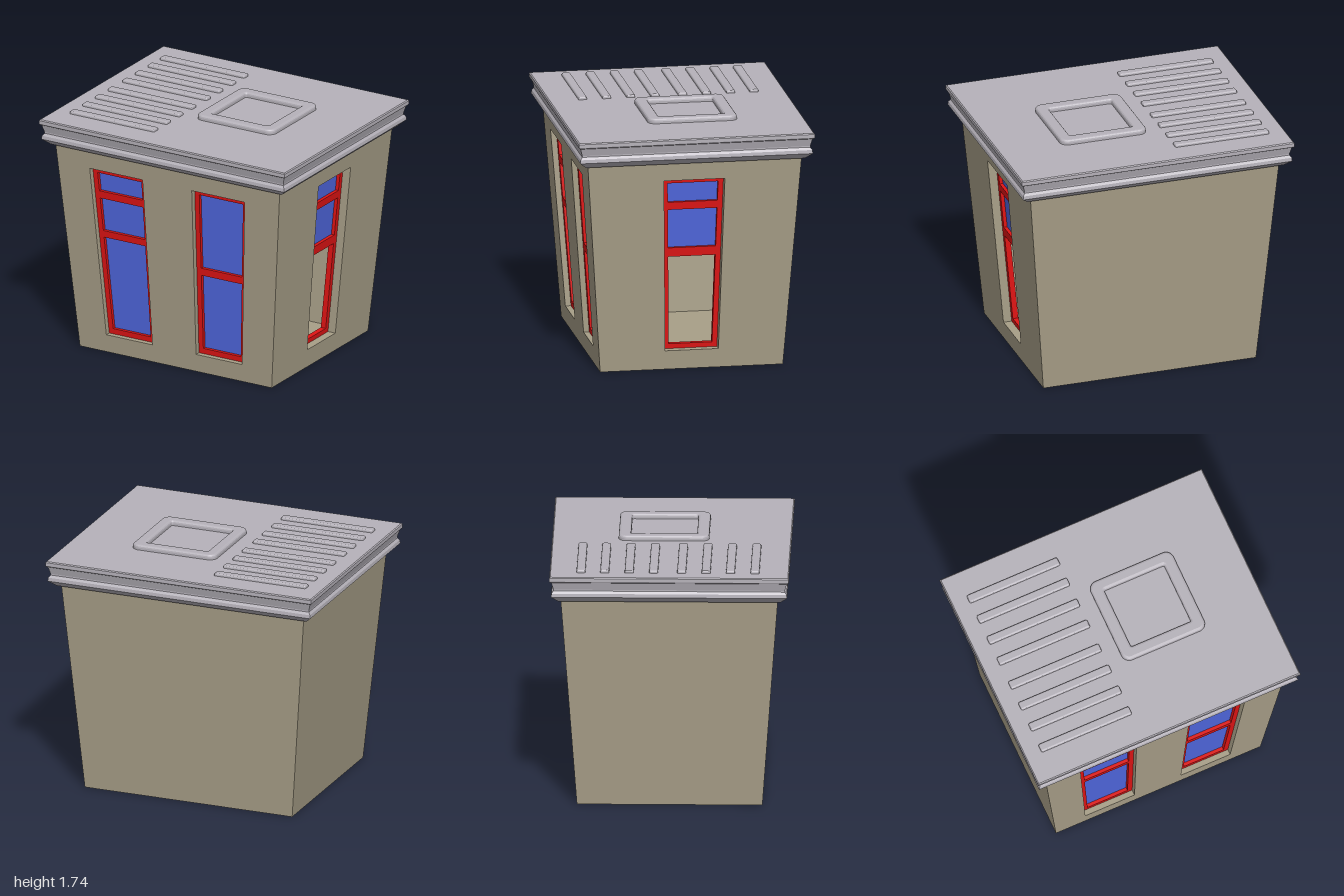
import * as THREE from 'three';
import { RoundedBoxGeometry } from 'three/addons/geometries/RoundedBoxGeometry.js';

const H = 1.52, WALL = 0.1, ROOF_Y = 1.705;
const mat = (color) => new THREE.MeshStandardMaterial({ color, flatShading: true });

export function createModel() {
  const wallMat = mat(0xa89f88), roofMat = mat(0xb6b2ba);
  const redMat = mat(0xe01414), glassMat = mat(0x5068e0);
  const model = new THREE.Group();

  const add = (parent, name, geo, material, x = 0, y = 0, z = 0) => {
    const mesh = new THREE.Mesh(geo, material);
    mesh.name = name;
    mesh.position.set(x, y, z);
    parent.add(mesh);
    return mesh;
  };

  const poly = (pts, Type = THREE.Shape) => new Type(pts.map(([x, y]) => new THREE.Vector2(x, y)));

  // Extrudes an upright shape inwards and leans it along the sloping wall
  const leaning = (shape, face, front, depth) => {
    const geo = new THREE.ExtrudeGeometry(shape, { depth, bevelEnabled: false });
    const p = geo.attributes.position;
    for (let i = 0; i < p.count; i++) {
      const slope = face.base + (face.top - face.base) * p.getY(i) / H;
      p.setZ(i, p.getZ(i) + slope - front - depth);
    }
    geo.computeVertexNormals();
    return geo;
  };

  // Outline of a tapered window between two heights, inset from its sides
  const windowBand = (w, y0, y1, inset) => {
    const edge = (y, side) => {
      const t = (y - w.y0) / (w.y1 - w.y0);
      return THREE.MathUtils.lerp(w.bottom[side], w.top[side], t) + (side ? -inset : inset);
    };
    return [[edge(y0, 0), y0], [edge(y0, 1), y0], [edge(y1, 1), y1], [edge(y1, 0), y1]];
  };

  const frontWindows = [
    { name: 'rightFrontWindow', y0: 0.13, y1: 1.385, bottom: [-0.56, -0.185], top: [-0.64, -0.21],
      panes: [[0.17, 0.86], [0.91, 1.155], [1.21, 1.347]], recess: 0.04 },
    { name: 'leftFrontWindow', y0: 0.13, y1: 1.385, bottom: [0.17, 0.545], top: [0.19, 0.62],
      panes: [[0.17, 0.73], [0.785, 1.347]], recess: 0.04 },
  ];
  // The lowest pane of the side window is open
  const sideWindows = [
    { name: 'sideWindow', y0: 0.135, y1: 1.385, bottom: [-0.188, 0.188], top: [-0.215, 0.215],
      panes: [[0.17, 0.81], [0.875, 1.155], [1.21, 1.35]], open: 0, recess: 0.06 },
  ];
  const X = { base: 0.78, top: 0.912 }, Z = { base: 0.645, top: 0.755 };
  const walls = [
    { name: 'frontWall', face: Z, width: X, trim: 0, turn: 0, windows: frontWindows },
    { name: 'backWall', face: Z, width: X, trim: 0, turn: Math.PI, windows: [] },
    { name: 'leftWall', face: X, width: Z, trim: WALL, turn: Math.PI / 2, windows: sideWindows },
    { name: 'rightWall', face: X, width: Z, trim: WALL, turn: -Math.PI / 2, windows: [] },
  ];

  // Sloping walls with their windows
  for (const { name, face, width, trim, turn, windows } of walls) {
    const group = new THREE.Group();
    group.name = name;
    group.rotation.y = turn;
    const b = width.base - trim, t = width.top - trim;
    const shape = poly([[-b, 0], [b, 0], [t, H], [-t, H]]);
    for (const w of windows) {
      shape.holes.push(poly(windowBand(w, w.y0, w.y1, 0), THREE.Path));
      const frame = poly(windowBand(w, w.y0, w.y1, 0));
      w.panes.forEach(([y0, y1], i) => {
        const band = windowBand(w, y0, y1, 0.036);
        frame.holes.push(poly(band, THREE.Path));
        if (i !== w.open) {
          add(group, w.name + 'Glass', leaning(poly(band), face, w.recess + 0.025, 0.008), glassMat);
        }
      });
      add(group, w.name + 'Frame', leaning(frame, face, w.recess, 0.04), redMat);
    }
    add(group, name + 'Panel', leaning(shape, face, 0, WALL), wallMat);
    model.add(group);
  }

  add(model, 'floor', new THREE.BoxGeometry(1.46, 0.02, 1.19), wallMat, 0, 0.01, 0);

  // Moulded roof: four-sided lathe, shortened in z so the moulding stays even
  const profile = [
    [1, 1.515], [0.06, 1.515], [0.012, 1.558], [0.015, 1.583], [0.028, 1.6],
    [0.028, 1.61], [0.014, 1.662], [0.003, 1.668], [0, 1.675], [0, 1.698], [0.007, ROOF_Y], [1, ROOF_Y],
  ].map(([inset, y]) => new THREE.Vector2((1 - inset) * Math.SQRT2, y));
  const roof = new THREE.LatheGeometry(profile, 4, Math.PI / 4).toNonIndexed();
  const p = roof.attributes.position;
  for (let i = 0; i < p.count; i++) {
    const z = p.getZ(i);
    if (Math.abs(z) > 0.2) p.setZ(i, z - Math.sign(z) * 0.167);
  }
  roof.computeVertexNormals();
  add(model, 'roof', roof, roofMat);

  // Roof ribs
  for (const z of [-0.615, -0.45, -0.28, -0.11, 0.085, 0.255, 0.425, 0.595]) {
    add(model, 'roofRib', new RoundedBoxGeometry(0.69, 0.04, 0.062, 2, 0.012), roofMat, -0.535, ROOF_Y, z);
  }

  // Rounded square hatch rim
  const roundedSquare = (Type, h, r) => {
    const s = new Type(), c = h - r;
    s.absarc(c, c, r, 0, Math.PI / 2);
    s.absarc(-c, c, r, Math.PI / 2, Math.PI);
    s.absarc(-c, -c, r, Math.PI, Math.PI * 1.5);
    s.absarc(c, -c, r, Math.PI * 1.5, Math.PI * 2);
    s.closePath();
    return s;
  };
  const rim = roundedSquare(THREE.Shape, 0.297, 0.04);
  rim.holes.push(roundedSquare(THREE.Path, 0.247, 0.03));
  const rimGeo = new THREE.ExtrudeGeometry(rim, {
    depth: 0.02, bevelSize: 0.018, bevelThickness: 0.018, bevelSegments: 3, curveSegments: 6,
  });
  rimGeo.rotateX(-Math.PI / 2);
  add(model, 'hatchRim', rimGeo, roofMat, 0.235, ROOF_Y - 0.003, -0.055);

  return model;
}
